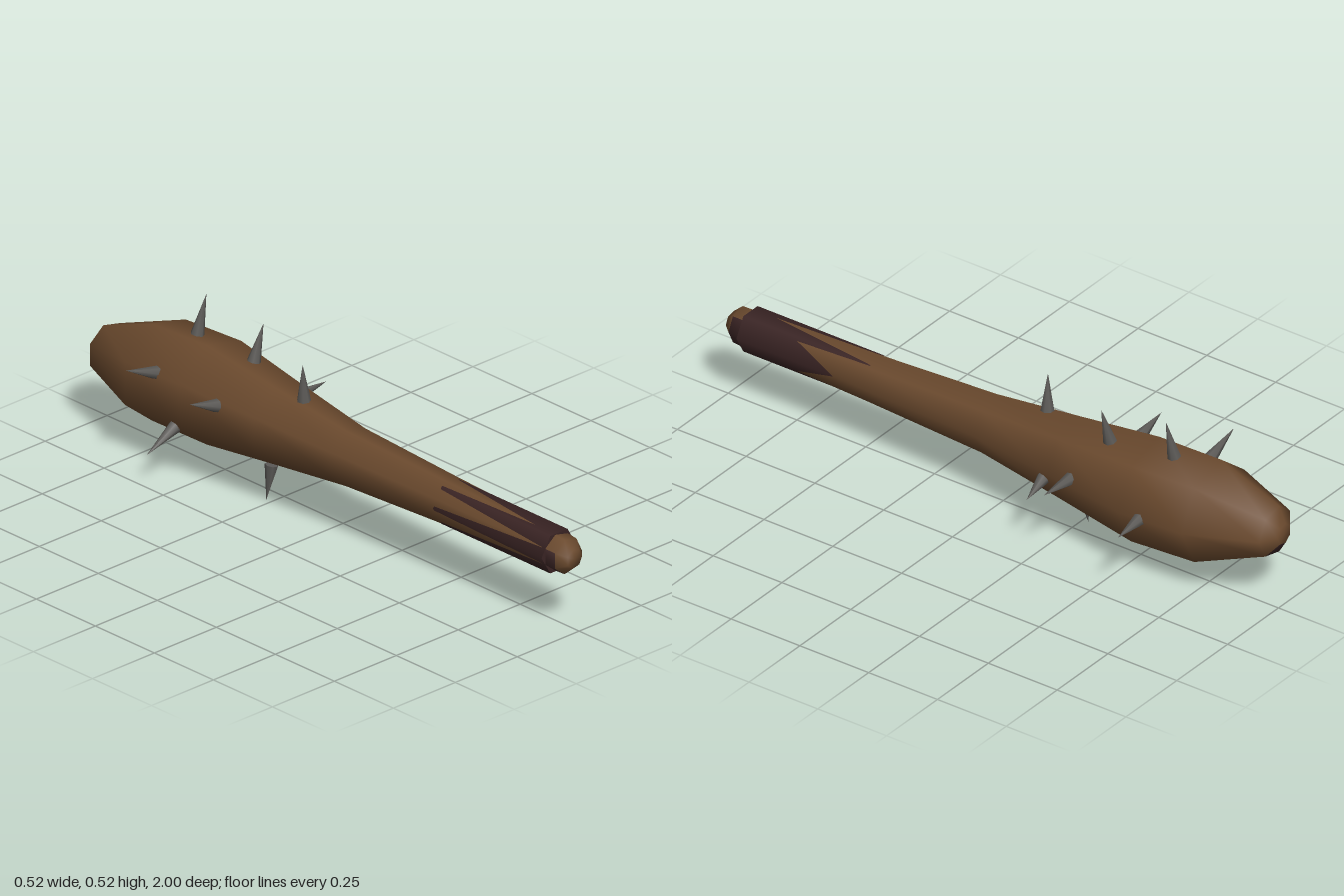
import * as THREE from 'three';

const wood = new THREE.MeshStandardMaterial({ color: 0x6b4a2e });
const leather = new THREE.MeshStandardMaterial({ color: 0x3a2424 });
const iron = new THREE.MeshStandardMaterial({ color: 0x5c5a57 });
wood.name = 'wood';
leather.name = 'leather';
iron.name = 'iron';

const SIDES = 7;

// Rings along the club from grip to head: z, radius, centre x
const RINGS = [
  [1, 0, -0.018], [1, 0.03, -0.018], [0.97, 0.057, -0.018], [0.92, 0.06, -0.016],
  [0.47, 0.0735, -0.015], [0.05, 0.092, -0.016], [-0.25, 0.128, -0.008],
  [-0.54, 0.165, 0], [-0.76, 0.161, -0.011], [-0.97, 0.08, -0.026],
  [-1, 0.033, -0.028], [-1, 0, -0.028],
];

// Stained faces: sides and underside of the pommel, one facet at the tip
const isDark = (ring, side) => (ring === 2 && side !== 1 && side !== 2) || (ring === 9 && side === 5);

function clubGeometry() {
  const positions = [], light = [], dark = [];
  for (const [z, r, cx] of RINGS) {
    for (let s = 0; s < SIDES; s++) {
      const a = (s / SIDES) * Math.PI * 2;
      positions.push(cx + r * Math.cos(a), 0.24 + r * Math.sin(a), z);
    }
  }
  for (let i = 0; i < RINGS.length - 1; i++) {
    for (let s = 0; s < SIDES; s++) {
      const a = i * SIDES + s, b = i * SIDES + ((s + 1) % SIDES);
      (isDark(i, s) ? dark : light).push(a, a + SIDES, b, b, a + SIDES, b + SIDES);
    }
  }
  const geo = new THREE.BufferGeometry();
  geo.setAttribute('position', new THREE.Float32BufferAttribute(positions, 3));
  geo.setIndex([...light, ...dark]);
  geo.addGroup(0, light.length, 0);
  geo.addGroup(light.length, dark.length, 1);
  geo.computeVertexNormals();
  return geo;
}

// Spikes: base point, tip point
const SPIKES = [
  [[-0.02, 0.355, -0.145], [-0.03, 0.475, -0.14]],
  [[0.03, 0.372, -0.41], [0.06, 0.49, -0.4]],
  [[0.012, 0.39, -0.63], [0.036, 0.517, -0.617]],
  [[0.15, 0.235, -0.605], [0.262, 0.228, -0.61]],
  [[0.115, 0.255, -0.33], [0.247, 0.263, -0.33]],
  [[0.1, 0.21, -0.22], [0.197, 0.185, -0.23]],
  [[-0.14, 0.31, -0.645], [-0.262, 0.357, -0.645]],
  [[-0.14, 0.292, -0.39], [-0.243, 0.328, -0.395]],
  [[-0.145, 0.167, -0.56], [-0.255, 0.108, -0.565]],
  [[-0.036, 0.11, -0.265], [-0.053, 0, -0.27]],
];

function makeSpike([from, to]) {
  const base = new THREE.Vector3(...from), tip = new THREE.Vector3(...to);
  const dir = tip.clone().sub(base);
  const length = dir.length();
  const spike = new THREE.Mesh(new THREE.ConeGeometry(0.021, length, 7), iron);
  spike.quaternion.setFromUnitVectors(new THREE.Vector3(0, 1, 0), dir.normalize());
  spike.position.copy(base).lerp(tip, 0.5);
  return spike;
}

export function createModel() {
  const model = new THREE.Group();
  model.name = 'spikedClub';

  // Tapered wooden shaft and head
  const shaft = new THREE.Mesh(clubGeometry(), [wood, leather]);
  shaft.name = 'shaft';
  model.add(shaft);

  // Six-sided grip wrap; the thickening shaft breaks through its flats
  const wrapGeo = new THREE.CylinderGeometry(0.07, 0.07, 0.46, 6, 1, false, Math.PI / 2);
  const wrap = new THREE.Mesh(wrapGeo.rotateX(Math.PI / 2), leather);
  wrap.position.set(-0.015, 0.24, 0.7);
  wrap.name = 'gripWrap';
  model.add(wrap);

  // Iron spikes around the head
  SPIKES.forEach((s, i) => {
    const spike = makeSpike(s);
    spike.name = `spike${i + 1}`;
    model.add(spike);
  });
  return model;
}
